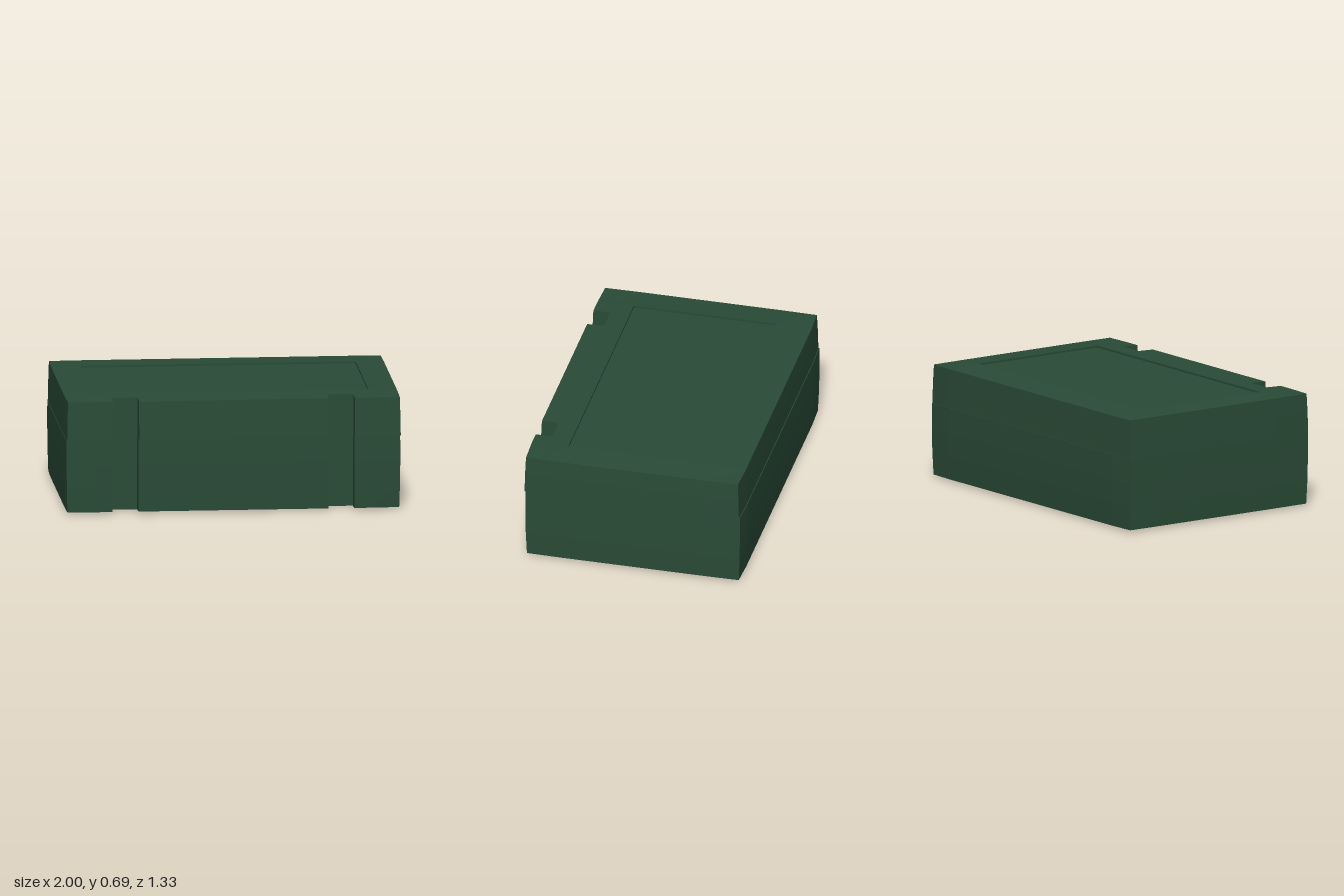
import * as THREE from 'three';

const material = new THREE.MeshStandardMaterial({ color: 0x2a4b37, flatShading: true });

// Plan grid lines; the panel recess and the two front notches lie on them.
const X = [-0.997, -0.82, -0.72, -0.565, 0, 0.565, 0.72, 0.82, 0.997];
const Z = [-0.662, -0.44, 0, 0.43, 0.55, 0.662];
const HEIGHT = 0.69, SEAM = 0.45, RECESS = 0.012;

const inNotch = (x, z) => z > 0.55 && Math.abs(x) > 0.565 && Math.abs(x) < 0.72;
const inPanel = (x, z) => Math.abs(x) < 0.82 && z > -0.44 && z < 0.43;

// Gently swells the faces, so that the outer edges sit slightly lower and further in.
function swell([x, y, z]) {
  const ex = Math.max(0, (Math.abs(x) - 0.82) / 0.177);
  const ez = Math.max(0, (Math.abs(z) - 0.44) / 0.222);
  const e = Math.max(ex, ez);
  const t = ((y - HEIGHT / 2) / (HEIGHT / 2)) ** 2;
  const ny = y > 0.6 ? y - 0.008 * e : y < 0.1 ? y + 0.004 + 0.012 * e : y;
  const nx = Math.abs(x) > 0.9 ? x * (1 - 0.006 * t - 0.003 * ez) : x;
  const nz = Math.abs(z) > 0.6 ? z * (1 - 0.013 * t - 0.01 * ex) : z;
  return [nx, ny, nz];
}

// Closed shell round the filled cells of a grid.
function cellShell(lines, filled) {
  const pos = [];
  const solid = (c) => {
    if (c.some((i, a) => i < 0 || i >= lines[a].length - 1)) return false;
    return filled(...c.map((i, a) => (lines[a][i] + lines[a][i + 1]) / 2));
  };
  const addFace = (cell, a, s) => {
    const b = (a + 1) % 3, c = (a + 2) % 3;
    const corners = [[0, 0], [1, 0], [1, 1], [0, 1]].map(([u, v]) => {
      const k = [...cell];
      k[a] += s > 0 ? 1 : 0;
      k[b] += u;
      k[c] += v;
      return swell(k.map((i, axis) => lines[axis][i]));
    });
    if (s < 0) corners.reverse();
    for (const n of [0, 1, 2, 0, 2, 3]) pos.push(...corners[n]);
  };
  for (let i = 0; i < lines[0].length - 1; i++)
    for (let j = 0; j < lines[1].length - 1; j++)
      for (let k = 0; k < lines[2].length - 1; k++) {
        const cell = [i, j, k];
        if (!solid(cell)) continue;
        for (let a = 0; a < 3; a++)
          for (const s of [-1, 1]) {
            const next = [...cell];
            next[a] += s;
            if (!solid(next)) addFace(cell, a, s);
          }
      }
  const geometry = new THREE.BufferGeometry();
  geometry.setAttribute('position', new THREE.Float32BufferAttribute(pos, 3));
  geometry.computeVertexNormals();
  return geometry;
}

export function createModel() {
  const group = new THREE.Group();
  group.name = 'case';

  // Lower half, with a shallow recessed panel underneath
  const base = new THREE.Mesh(cellShell([X, [0, RECESS, 0.16, 0.3, SEAM], Z],
    (x, y, z) => !inNotch(x, z) && !(y < RECESS && inPanel(x, z))), material);
  base.name = 'base';

  // Upper half, with a recessed panel on top, set slightly off the base at the seam
  const lid = new THREE.Mesh(cellShell([X, [SEAM, 0.57, HEIGHT - RECESS, HEIGHT], Z],
    (x, y, z) => !inNotch(x, z) && !(y > HEIGHT - RECESS && inPanel(x, z))), material);
  lid.name = 'lid';
  lid.position.set(0.003, 0, 0.005);

  group.add(base, lid);
  return group;
}
